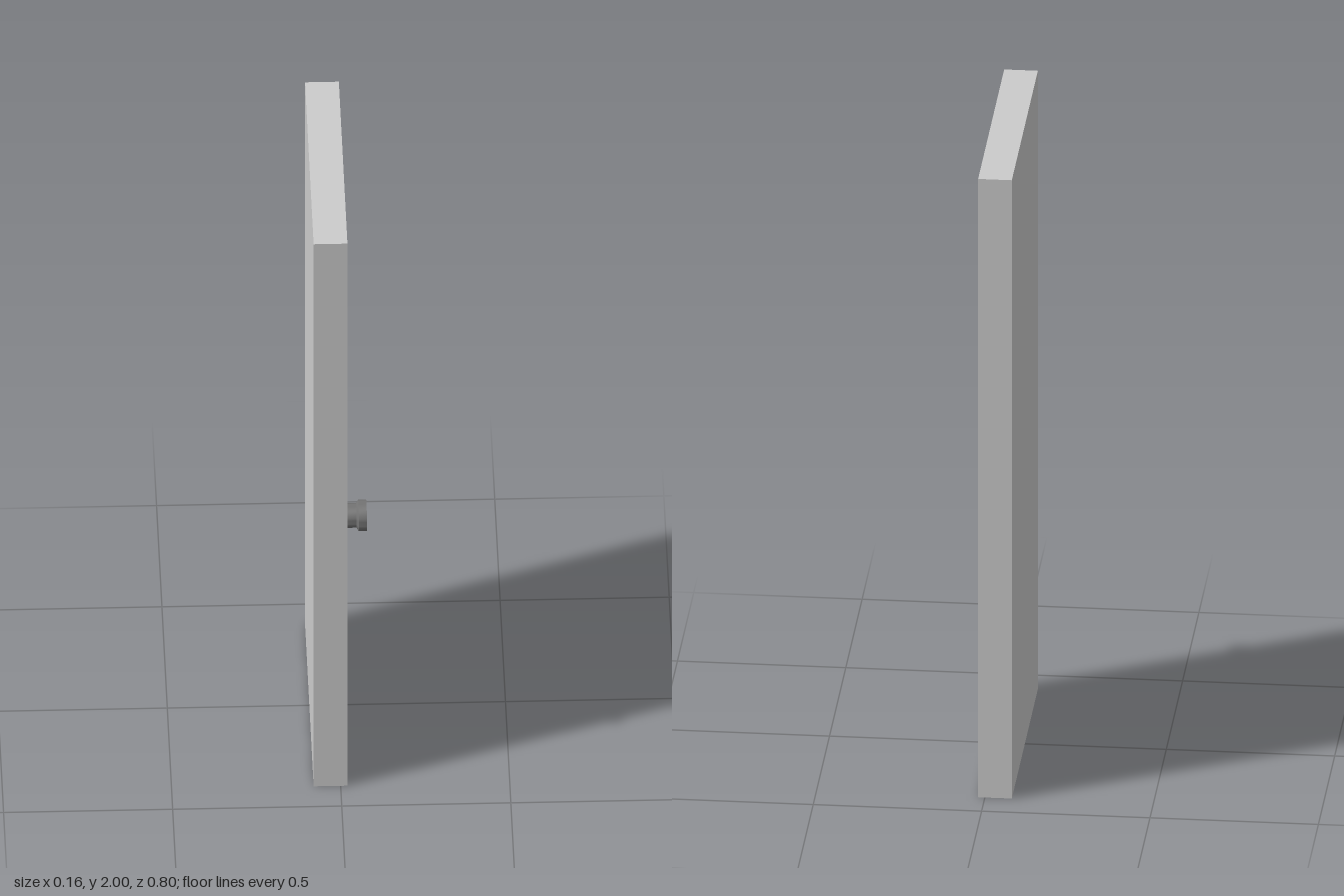
import * as THREE from 'three';
import { toCreasedNormals } from 'three/addons/utils/BufferGeometryUtils.js';

const WIDTH = 0.8, HEIGHT = 2, BACK = -0.08, FACE = 0.02, RECESS = 0.02;
const PANEL_HALF = 0.285;
const PANELS = [[0.255, 0.89], [1.02, 1.845]]; // bottom and top of each panel

function rectangle(target, x0, y0, x1, y1) {
  target.moveTo(x0, y0);
  target.lineTo(x1, y0);
  target.lineTo(x1, y1);
  target.lineTo(x0, y1);
  target.closePath();
  return target;
}

export function createModel() {
  const model = new THREE.Group();
  model.name = 'door';
  const grey = new THREE.MeshStandardMaterial({ color: 0xcccccc });
  const dark = new THREE.MeshStandardMaterial({ color: 0x747474 });

  const add = (name, geometry, material) => {
    const mesh = new THREE.Mesh(geometry, material);
    mesh.name = name;
    model.add(mesh);
    return mesh;
  };

  // Solid slab: its face is the floor of the sunken panels
  const slabDepth = FACE - RECESS - BACK;
  add('slab', new THREE.BoxGeometry(slabDepth, HEIGHT, WIDTH), grey)
    .position.set(BACK + slabDepth / 2, HEIGHT / 2, 0);

  // Frame of stiles and rails around the two panels
  const outline = rectangle(new THREE.Shape(), -WIDTH / 2, 0, WIDTH / 2, HEIGHT);
  for (const [y0, y1] of PANELS) {
    outline.holes.push(rectangle(new THREE.Path(), -PANEL_HALF, y0, PANEL_HALF, y1));
  }
  const frame = add('panelFrame',
    new THREE.ExtrudeGeometry(outline, { depth: RECESS, bevelEnabled: false }), grey);
  frame.rotation.y = Math.PI / 2;
  frame.position.x = FACE - RECESS;

  // Turned knob: neck, short flare and flat-faced head
  const profile = [[0.0365, 0], [0.0365, 0.028], [0.0465, 0.034], [0.0465, 0.058], [0, 0.058]]
    .map(([r, h]) => new THREE.Vector2(r, h));
  const knob = add('knob', toCreasedNormals(new THREE.LatheGeometry(profile, 32), 0.5), dark);
  knob.rotation.z = -Math.PI / 2;
  knob.position.set(FACE, 0.955, 0.344);

  return model;
}
